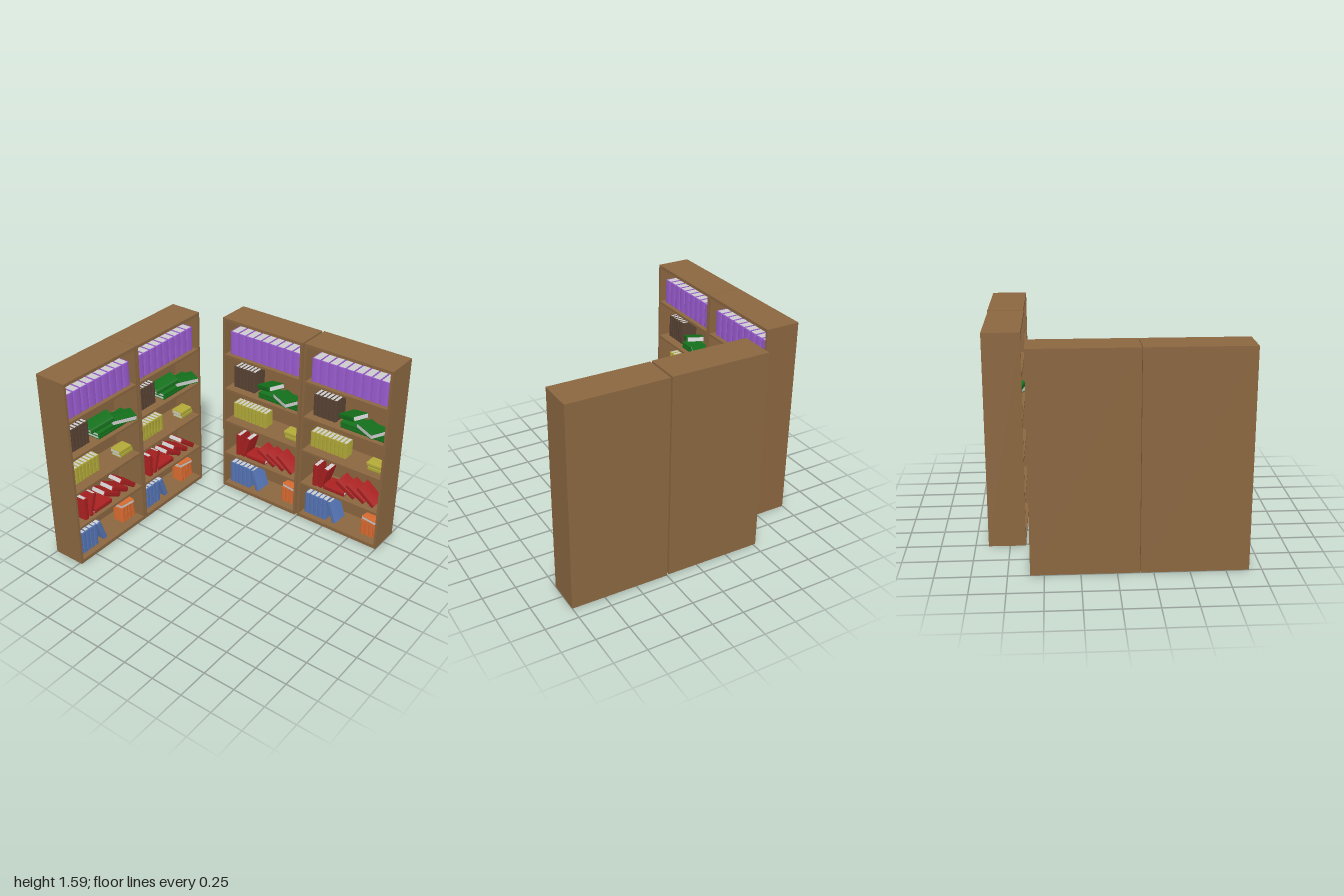
import * as THREE from 'three';
import { toCreasedNormals } from 'three/addons/utils/BufferGeometryUtils.js';

const mat = (color) => new THREE.MeshStandardMaterial({ color });
const WOOD = mat(0x8a6640), PAGES = mat(0xcccccc);
const PURPLE = mat(0x9a5cd0), BROWN = mat(0x584233), GREEN = mat(0x14701c);
const YELLOW = mat(0xb0a838), RED = mat(0xa82020), BLUE = mat(0x5574b4), ORANGE = mat(0xd86a30);

// Bookcase size and board thickness
const W = 0.752, H = 1.585, D = 0.27, T = 0.02;
const SHELVES = [0.03, 0.34, 0.655, 0.96, 1.27]; // top surfaces
const rad = THREE.MathUtils.degToRad;

function box(parent, name, size, pos, material) {
  const mesh = new THREE.Mesh(new THREE.BoxGeometry(...size), material);
  mesh.name = name;
  mesh.position.set(...pos);
  parent.add(mesh);
}

// Folded cover with a rounded spine towards +z, wrapped round a page block
const coverCache = new Map();
function coverGeometry(w, h, d) {
  const key = [w, h, d].join();
  if (!coverCache.has(key)) {
    const t = Math.min(0.004, w * 0.14), b = Math.min(0.008, w * 0.2);
    const x = w / 2, y = d / 2;
    const s = new THREE.Shape();
    s.moveTo(-x, y);
    s.lineTo(-x, -y + b);
    s.quadraticCurveTo(-x, -y, 0, -y);
    s.quadraticCurveTo(x, -y, x, -y + b);
    s.lineTo(x, y);
    s.lineTo(x - t, y);
    s.lineTo(x - t, -y + b + t);
    s.lineTo(-x + t, -y + b + t);
    s.lineTo(-x + t, y);
    s.closePath();
    const g = new THREE.ExtrudeGeometry(s, { depth: h, bevelEnabled: false, curveSegments: 4 });
    g.translate(0, 0, -h / 2).rotateX(-Math.PI / 2);
    coverCache.set(key, toCreasedNormals(g, 0.6));
  }
  return coverCache.get(key);
}

// Book centred on its position; lean turns it about z, then turn about y (degrees)
function book(parent, name, material, [w, h, d], [x, y, z], lean = 0, turn = 0) {
  const g = new THREE.Group();
  g.name = name;
  const cover = new THREE.Mesh(coverGeometry(w, h, d), material);
  cover.name = 'cover';
  g.add(cover);
  const t = Math.min(0.004, w * 0.14);
  box(g, 'pages', [w - 2 * t, h - 0.005, d - 0.014], [0, 0, -0.005], PAGES);
  g.rotation.set(0, rad(turn), rad(lean), 'YXZ');
  g.position.set(x, y, z);
  parent.add(g);
}

// Upright books side by side from x0 to x1
function row(parent, name, material, count, x0, x1, gap, y, h, d, front) {
  const step = (x1 - x0) / count;
  for (let i = 0; i < count; i++) {
    book(parent, name, material, [step - gap, h, d], [x0 + step * (i + 0.5), y + h / 2, front - d / 2]);
  }
}

function bookcase() {
  const c = new THREE.Group();
  c.name = 'bookcase';

  // Carcass
  for (const s of [-1, 1]) box(c, 'sidePanel', [T, H, D], [s * (W - T) / 2, H / 2, 0], WOOD);
  const inner = W - 2 * T;
  box(c, 'backPanel', [inner, H, T], [0, H / 2, (T - D) / 2], WOOD);
  box(c, 'topPanel', [inner, 0.025, D - T], [0, H - 0.0125, T / 2], WOOD);
  SHELVES.forEach((y, i) => {
    const t = i ? T : 0.03;
    box(c, i ? 'shelf' : 'basePanel', [inner, t, D - T], [0, y - t / 2, T / 2], WOOD);
  });
  const [s0, s1, s2, s3, s4] = SHELVES;

  // Top shelf: thick purple row
  row(c, 'purpleBook', PURPLE, 9, -0.33, 0.333, 0.005, s4, 0.195, 0.15, 0.1);

  // Fourth shelf: brown row and a loose green pile
  row(c, 'brownBook', BROWN, 6, -0.315, -0.108, 0.001, s3, 0.185, 0.14, 0.065);
  for (const x of [0.055, 0.251]) {
    for (const k of [0, 1]) book(c, 'greenBook', GREEN, [0.025, 0.195, 0.14], [x, s3 + 0.0145 + k * 0.026, 0.03], -90);
  }
  book(c, 'greenBook', GREEN, [0.04, 0.195, 0.14], [0.222, 1.036, 0.088], -90, 154);
  book(c, 'greenBook', GREEN, [0.04, 0.195, 0.14], [0.033, 1.064, 0.04], -71, -26);

  // Third shelf: yellow row and a small pile
  row(c, 'yellowBook', YELLOW, 9, -0.338, -0.005, 0.002, s2, 0.135, 0.1, 0.045);
  book(c, 'yellowBook', YELLOW, [0.034, 0.135, 0.1], [0.275, s2 + 0.017, 0.02], -90);
  book(c, 'yellowBook', YELLOW, [0.03, 0.135, 0.1], [0.262, s2 + 0.05, 0.02], -90);

  // Second shelf: tumbled red books, as [x, y, lean]
  const tumbled = [
    [-0.242, s1 + 0.095, 0], [-0.169, s1 + 0.097, -16], [-0.06, s1 + 0.022, -90],
    [0.046, 0.415, 60], [0.138, 0.412, 60], [0.23, 0.418, 52],
  ];
  for (const [x, y, lean] of tumbled) {
    book(c, 'redBook', RED, [0.04, 0.19, 0.14], [x, y, 0.035], lean);
  }

  // Bottom shelf: blue row with a leaning book, orange row with one laid on top
  row(c, 'blueBook', BLUE, 5, -0.336, -0.128, 0.002, s0, 0.19, 0.14, 0.085);
  book(c, 'blueBook', BLUE, [0.04, 0.19, 0.14], [-0.078, 0.126, 0.015], 19);
  row(c, 'orangeBook', ORANGE, 3, 0.185, 0.295, 0.002, s0, 0.135, 0.1, 0.06);
  book(c, 'orangeBook', ORANGE, [0.035, 0.135, 0.1], [0.315, 0.1, 0.01], 8);
  book(c, 'orangeBook', ORANGE, [0.03, 0.135, 0.1], [0.261, 0.181, 0.01], -90, 171);
  return c;
}

export function createModel() {
  const model = new THREE.Group();
  model.name = 'bookcases';
  // Two along the back, two at the side facing inwards, as [name, x, z, turn]
  const places = [
    ['backRightBookcase', -0.535, -0.865, 0],
    ['backLeftBookcase', 0.221, -0.865, 0],
    ['sideRearBookcase', 0.767, -0.144, -90.45],
    ['sideFrontBookcase', 0.767, 0.624, -90.45],
  ];
  for (const [name, x, z, turn] of places) {
    const c = bookcase();
    c.name = name;
    c.position.set(x, 0, z);
    c.rotation.y = rad(turn);
    model.add(c);
  }
  return model;
}
